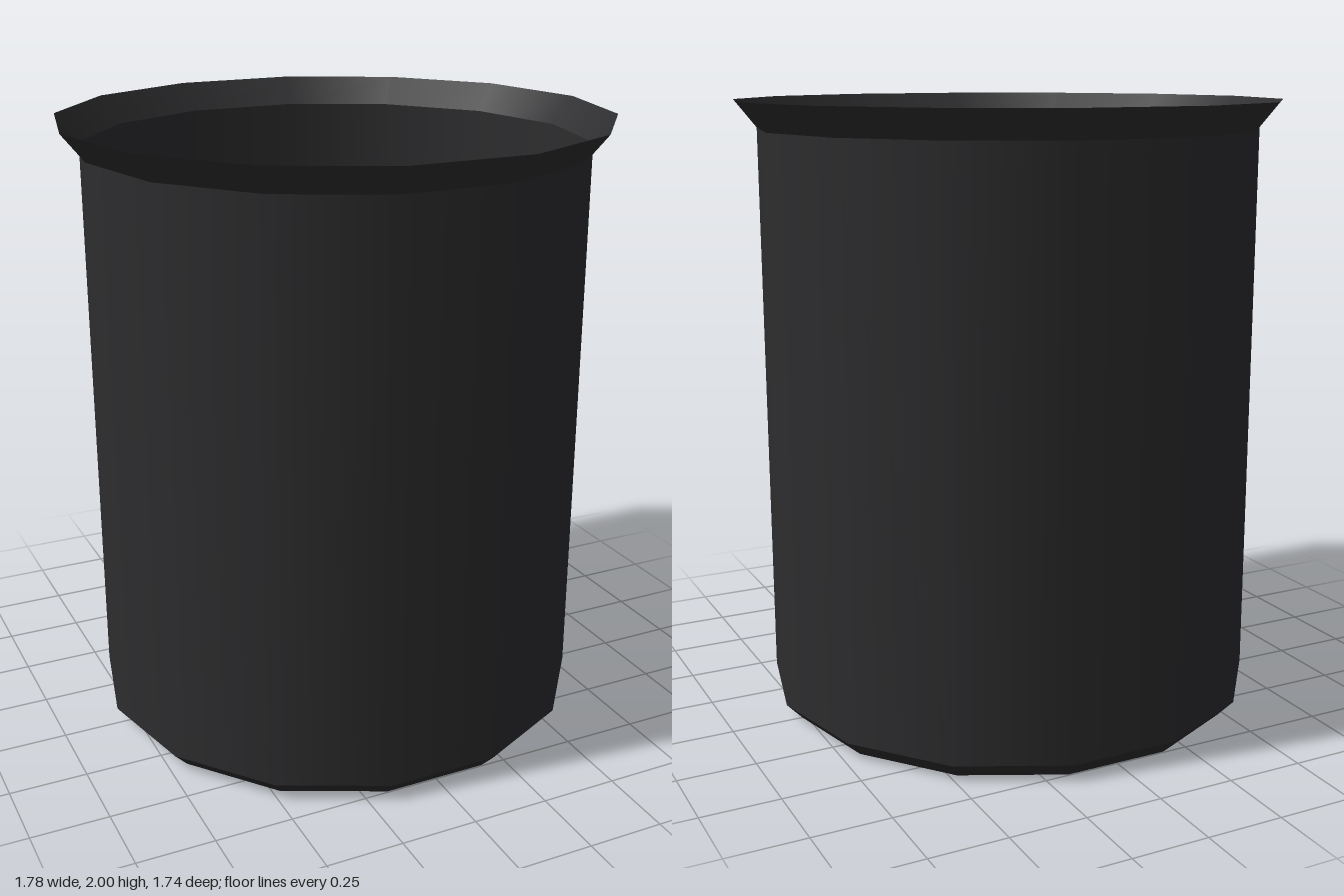
import * as THREE from 'three';

const SIDES = 14;

export function createModel() {
  const group = new THREE.Group();
  const dark = new THREE.MeshStandardMaterial({ color: 0x2d2d2f, side: THREE.DoubleSide });
  const cream = new THREE.MeshStandardMaterial({ color: 0xcabfa8, side: THREE.DoubleSide });

  // Open thin band between two radii, with a corner of the polygon on the x axis
  function band(name, r0, y0, r1, y1) {
    const points = [new THREE.Vector2(r0, y0), new THREE.Vector2(r1, y1)];
    const mesh = new THREE.Mesh(new THREE.LatheGeometry(points, SIDES, Math.PI / 2), dark);
    mesh.name = name;
    group.add(mesh);
  }

  band('flaredRim', 0.817, 1.91, 0.89, 2);
  band('outerWall', 0.817, 0.055, 0.817, 1.91);
  band('bottomBevel', 0.765, 0, 0.817, 0.055);

  // Hollow base: a cone narrowing upwards inside the wall, closed by a pale floor
  band('raisedBase', 0.765, 0, 0.655, 0.64);
  const floor = new THREE.Mesh(new THREE.CircleGeometry(0.655, SIDES), cream);
  floor.name = 'floorDisc';
  floor.rotation.x = -Math.PI / 2;
  floor.position.y = 0.64;
  group.add(floor);

  return group;
}
